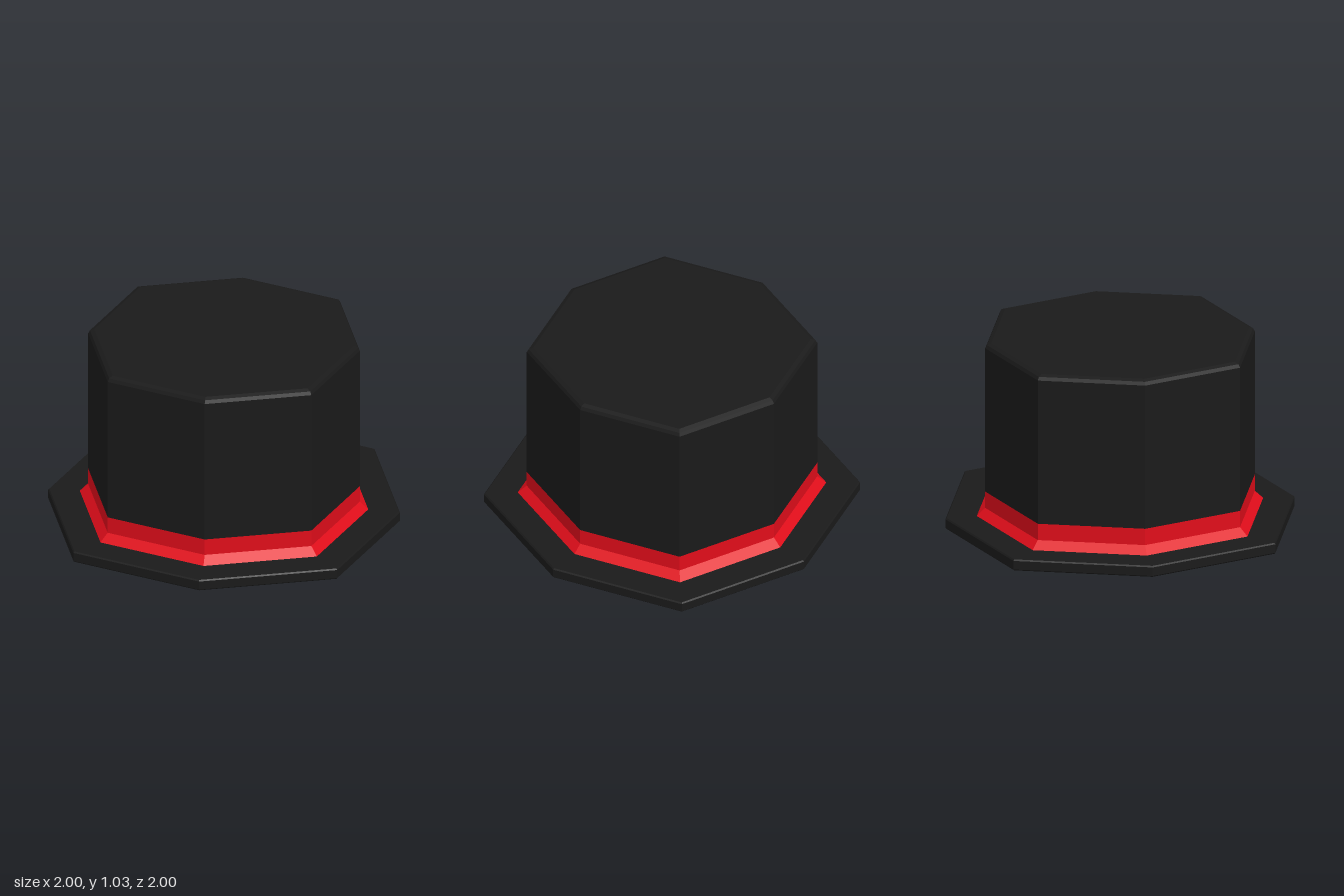
import * as THREE from 'three';

const SIDES = 8;
const DIAGONAL = 0.943; // diagonal corners sit slightly closer in than the axis corners

const felt = new THREE.MeshStandardMaterial({ color: 0x1a1a1a, flatShading: true });
const ribbon = new THREE.MeshStandardMaterial({ color: 0xe00d1a, flatShading: true });

// Eight-sided turned part from a [radius, height] profile listed bottom to top
function turned(name, profile, material) {
  const points = profile.map(([r, y]) => new THREE.Vector2(r, y));
  const geometry = new THREE.LatheGeometry(points, SIDES);
  const pos = geometry.attributes.position;
  for (let i = 0; i < pos.count; i++) {
    const corner = Math.floor(i / points.length);
    const s = corner % 2 ? DIAGONAL : 1;
    pos.setXYZ(i, pos.getX(i) * s, pos.getY(i), pos.getZ(i) * s);
  }
  const faceted = geometry.toNonIndexed();
  faceted.computeVertexNormals();
  const mesh = new THREE.Mesh(faceted, material);
  mesh.name = name;
  return mesh;
}

export function createModel() {
  const hat = new THREE.Group();
  hat.name = 'topHat';

  // Flat brim with a slightly eased edge, closed underneath
  hat.add(turned('brim', [
    [0, 0], [0.993, 0], [1, 0.007], [1, 0.055], [0.993, 0.062], [0, 0.062],
  ], felt));

  // Ribbon flaring out where it meets the brim
  hat.add(turned('band', [[0.82, 0.062], [0.772, 0.105], [0.772, 0.197]], ribbon));

  // Tall crown with a small rounded top edge
  hat.add(turned('crown', [
    [0.772, 0.197], [0.772, 1.005], [0.762, 1.023], [0.738, 1.032], [0, 1.032],
  ], felt));

  return hat;
}
